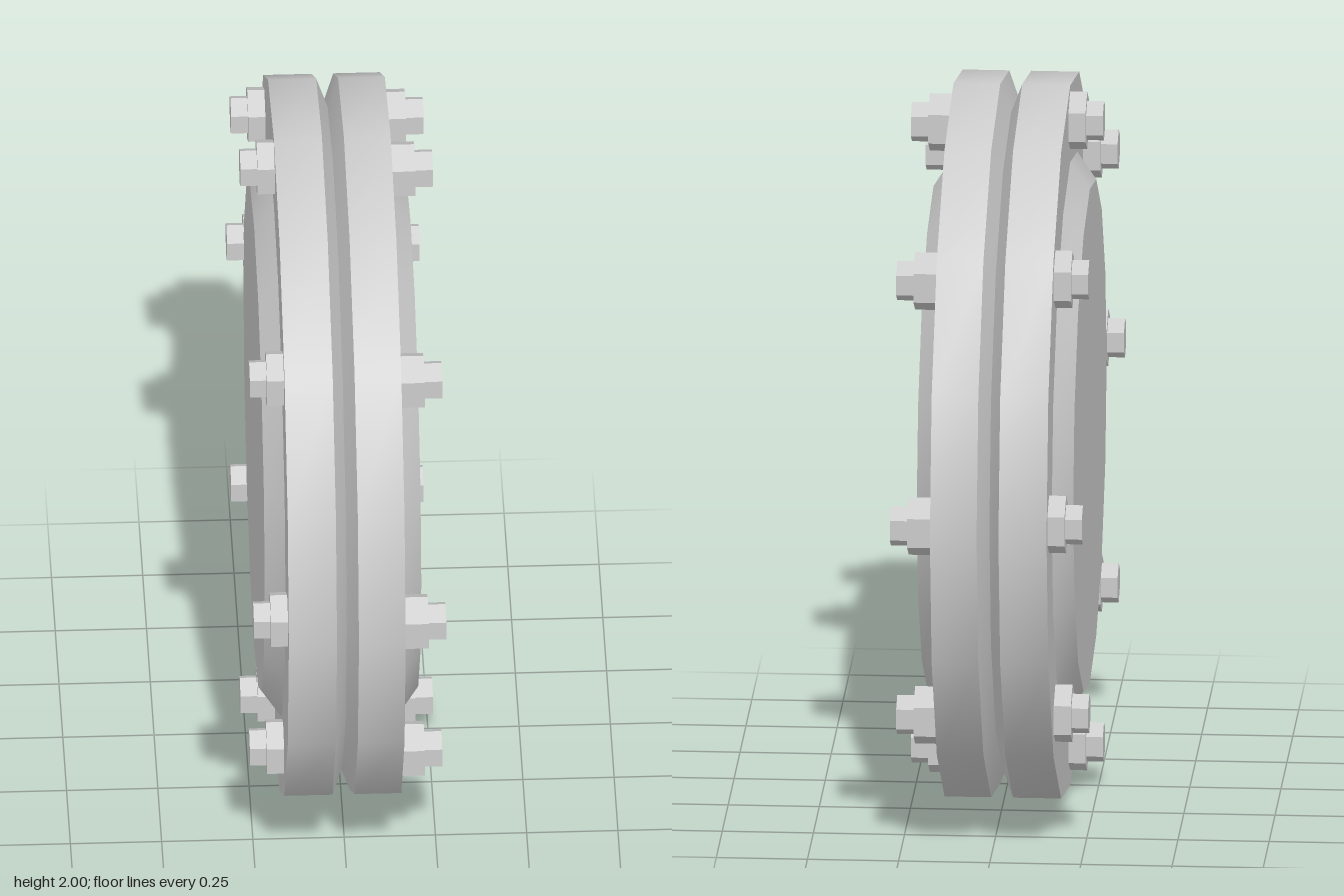
import * as THREE from 'three';
import { toCreasedNormals } from 'three/addons/utils/BufferGeometryUtils.js';

const smooth = new THREE.MeshStandardMaterial({ color: 0xcccccc });
const faceted = new THREE.MeshStandardMaterial({ color: 0xcccccc, flatShading: true });

// 16-sided disc turned around the x axis; profile is [radius, x] with x increasing
function turned(name, profile) {
  const points = profile.map(([r, x]) => new THREE.Vector2(r, x));
  const geometry = new THREE.LatheGeometry(points, 16).rotateZ(-Math.PI / 2);
  const mesh = new THREE.Mesh(toCreasedNormals(geometry, 0.52), smooth);
  mesh.name = name;
  return mesh;
}

// Hexagonal prism along x, from x0 to x1, with a corner pointing up
function hexPrism(name, radius, x0, x1) {
  const geometry = new THREE.CylinderGeometry(radius, radius, Math.abs(x1 - x0), 6, 1, false, Math.PI / 6);
  geometry.rotateZ(-Math.PI / 2).translate((x0 + x1) / 2, 0, 0);
  const mesh = new THREE.Mesh(geometry, faceted);
  mesh.name = name;
  return mesh;
}

// Ring of eight nuts with protruding bolt ends on one face
function boltRing(name, face, nutEnd, boltEnd, dy, dz) {
  const ring = new THREE.Group();
  ring.name = name;
  for (let i = 0; i < 8; i++) {
    const angle = (i * Math.PI) / 4;
    const radius = i % 2 ? 0.877 : 0.888;
    const bolt = new THREE.Group();
    bolt.name = 'bolt';
    bolt.add(hexPrism('nut', 0.082, face, nutEnd), hexPrism('boltEnd', 0.056, face, boltEnd));
    bolt.position.set(0, 1 + radius * Math.cos(angle) + dy, radius * Math.sin(angle) + dz);
    ring.add(bolt);
  }
  return ring;
}

export function createModel() {
  const model = new THREE.Group();
  model.name = 'boltedFlange';

  // Two flange discs meeting at a V-shaped groove, with a chamfered cover on each side
  const discs = new THREE.Group();
  discs.name = 'flangeDiscs';
  discs.position.y = 1;
  discs.add(
    turned('leftFlange', [[0.92, -0.01], [1, 0.02], [1, 0.148], [0, 0.148]]),
    turned('rightFlange', [[0, -0.172], [1, -0.172], [1, -0.04], [0.92, -0.01]]),
    turned('leftCover', [[0.78, 0.148], [0.705, 0.203], [0, 0.203]]),
    turned('rightCover', [[0, -0.226], [0.705, -0.226], [0.78, -0.172]])
  );
  model.add(discs);

  // Bolts on both faces
  model.add(
    boltRing('leftBolts', 0.14, 0.213, 0.262, 0, 0),
    boltRing('rightBolts', -0.165, -0.219, -0.265, 0.014, -0.005)
  );
  return model;
}
